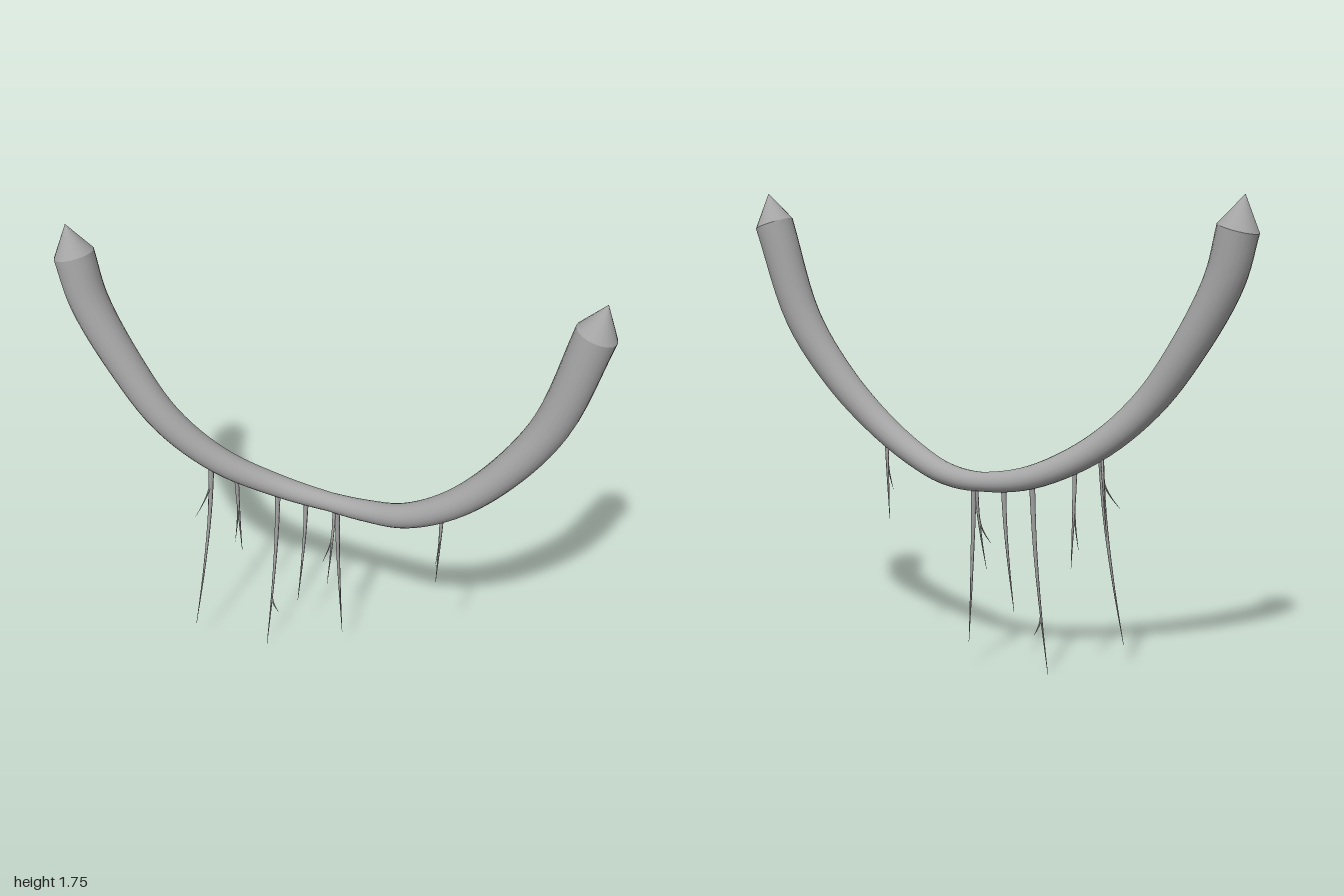
import * as THREE from 'three';

// Skin a list of rings (each an array of Vector3) with smooth normals
function skin(rings) {
  const n = rings[0].length, index = [];
  for (let i = 0; i < rings.length - 1; i++) {
    for (let j = 0; j < n; j++) {
      const a = i * n + j, b = i * n + (j + 1) % n;
      index.push(a, b, a + n, b, b + n, a + n);
    }
  }
  const geometry = new THREE.BufferGeometry().setFromPoints(rings.flat());
  geometry.setIndex(index);
  geometry.computeVertexNormals();
  return geometry;
}

// Round rings along a curve; radiusAt(t, centre) gives the thickness
function sweepRings(curve, radiusAt, steps, sides) {
  const rings = [];
  for (let i = 0; i <= steps; i++) {
    const t = i / steps, centre = curve.getPoint(t), tangent = curve.getTangent(t);
    const radius = radiusAt(t, centre);
    const u = new THREE.Vector3(0, 0, 1).addScaledVector(tangent, -tangent.z).normalize();
    const v = new THREE.Vector3().crossVectors(tangent, u);
    rings.push(Array.from({ length: sides }, (_, j) => {
      const a = (j / sides) * Math.PI * 2;
      return centre.clone().addScaledVector(u, Math.cos(a) * radius).addScaledVector(v, Math.sin(a) * radius);
    }));
  }
  return rings;
}

// Root path: drops straight at first, then drifts sideways towards its end
function rootCurve(start, end) {
  const points = [0, 0.33, 0.67, 1].map((s) => {
    const drift = s ** 1.5;
    return new THREE.Vector3(
      THREE.MathUtils.lerp(start.x, end.x, drift),
      THREE.MathUtils.lerp(start.y, end.y, s),
      THREE.MathUtils.lerp(start.z, end.z, drift),
    );
  });
  return new THREE.CatmullRomCurve3(points);
}

// Centre line of the hanging stem
const STEM = [
  [-0.927, 1.635, 0], [-0.88, 1.46, 0.01], [-0.757, 1.23, 0.02], [-0.605, 1.02, 0.025],
  [-0.417, 0.852, -0.01], [-0.2, 0.744, -0.064], [0, 0.713, -0.067], [0.15, 0.724, -0.04],
  [0.31, 0.775, 0.012], [0.49, 0.885, 0.04], [0.66, 1.05, 0.036], [0.81, 1.275, 0.02],
  [0.922, 1.635, 0],
];

// Roots: x on the stem, end x, y, z, radius
const ROOTS = [
  [-0.448, -0.502, 0.12, 0.097, 0.011],
  [-0.455, -0.51, 0.56, -0.1, 0.007],
  [-0.446, -0.463, 0.5, 0.035, 0.008],
  [-0.36, -0.352, 0.42, -0.045, 0.01],
  [-0.208, -0.242, 0, 0.003, 0.011],
  [-0.098, -0.122, 0.23, -0.035, 0.01],
  [0.018, 0.01, 0.37, 0.002, 0.008],
  [0.028, 0.056, 0.1, -0.052, 0.011],
  [0.45, 0.442, 0.515, 0.035, 0.009],
];

// Side branches: parent root, place along it, end x, y, z
const BRANCHES = [
  [0, 0.15, -0.49, 0.63, 0.075],
  [3, 0.4, -0.366, 0.48, -0.01],
  [4, 0.7, -0.2, 0.15, -0.03],
  [6, 0.4, -0.01, 0.47, 0],
  [7, 0.6, 0.058, 0.22, -0.03],
  [8, 0.3, 0.446, 0.62, 0.073],
];

export function createModel() {
  const group = new THREE.Group();
  const bark = new THREE.MeshStandardMaterial({ color: 0xa6a6a6 });
  bark.name = 'grey bark';
  const add = (geometry, name) => {
    const mesh = new THREE.Mesh(geometry, bark);
    mesh.name = name;
    group.add(mesh);
  };

  // Stem, thicker towards both ends
  const stem = new THREE.CatmullRomCurve3(STEM.map((p) => new THREE.Vector3(...p)));
  const rings = sweepRings(stem, (t, p) => 0.036 + 0.034 * Math.abs(p.x) + 0.008 * p.x ** 4, 72, 20);
  add(skin(rings), 'stem');

  // Pointed caps closing both ends
  const tip = (x) => rings[0].map(() => new THREE.Vector3(x, 1.748, 0.003));
  add(skin([tip(-0.948), rings[0]]), 'rightTip');
  add(skin([rings[rings.length - 1], tip(0.948)]), 'leftTip');

  // Roots tapering to a point
  const addRoot = (curve, radius, name) =>
    add(skin(sweepRings(curve, (t) => radius * (1 - 0.93 * t), 14, 6)), name);
  const stemPoints = stem.getPoints(400);
  const roots = ROOTS.map(([x, ex, ey, ez, radius]) => {
    const start = stemPoints.find((p) => p.x >= x);
    const curve = rootCurve(start, new THREE.Vector3(ex, ey, ez));
    addRoot(curve, radius, 'hangingRoot');
    return curve;
  });

  // Fine side branches
  for (const [parent, t, ex, ey, ez] of BRANCHES) {
    addRoot(rootCurve(roots[parent].getPoint(t), new THREE.Vector3(ex, ey, ez)), 0.005, 'rootBranch');
  }
  return group;
}
